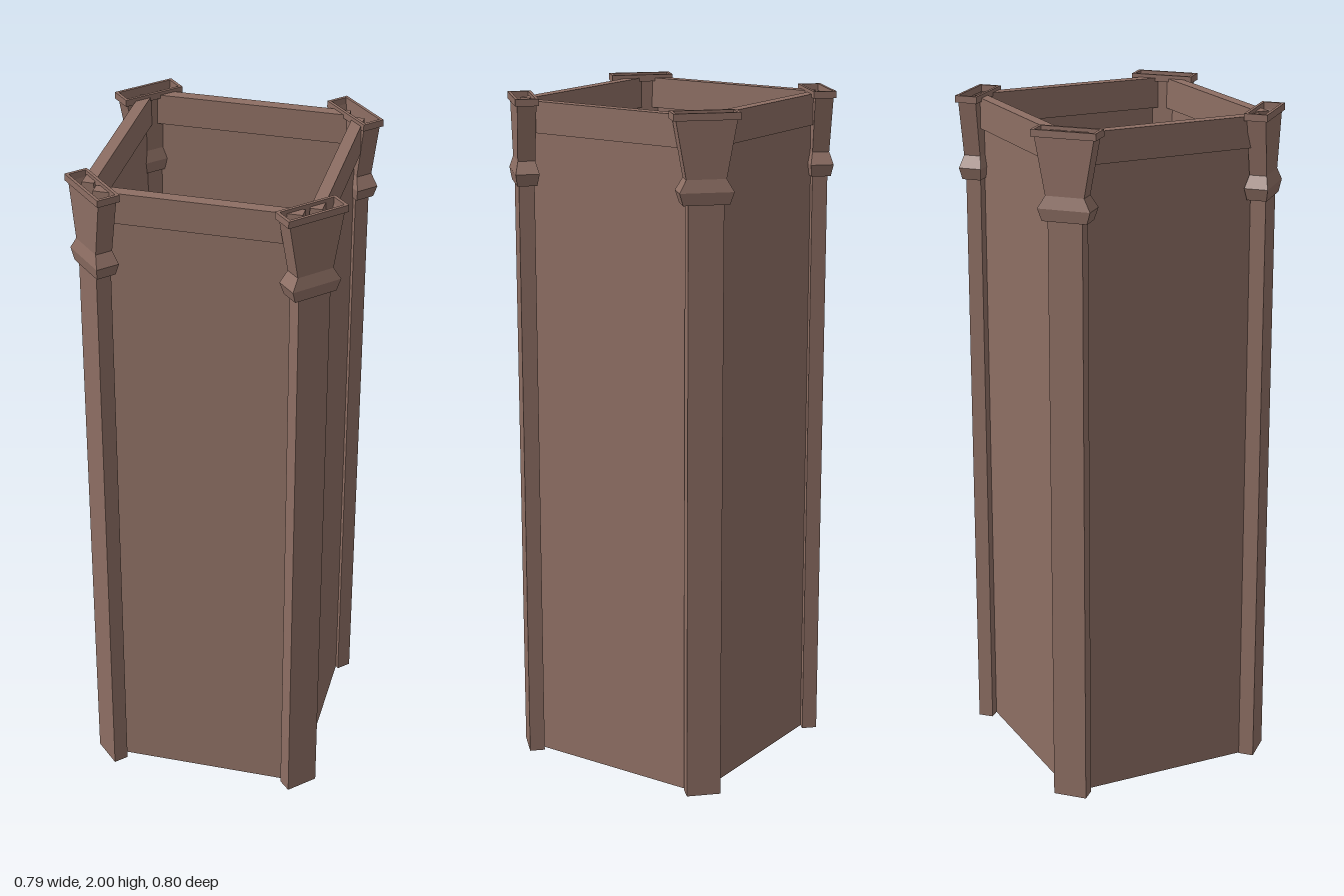
import * as THREE from 'three';

const brown = new THREE.MeshStandardMaterial({ color: 0x8d6e63, side: THREE.DoubleSide });
brown.name = 'brown';

// Hollow rectangular shell through sections of [height, width, depth]
function rectangularShell(sections) {
  const corners = [[0.5, 0.5], [0.5, -0.5], [-0.5, -0.5], [-0.5, 0.5]];
  const point = ([y, w, d], i) => [corners[i % 4][0] * w, y, corners[i % 4][1] * d];
  const positions = [];
  for (let s = 0; s < sections.length - 1; s++) {
    for (let i = 0; i < 4; i++) {
      const a = point(sections[s], i), b = point(sections[s], i + 1);
      const c = point(sections[s + 1], i + 1), d = point(sections[s + 1], i);
      positions.push(...a, ...b, ...c, ...a, ...c, ...d);
    }
  }
  const geometry = new THREE.BufferGeometry();
  geometry.setAttribute('position', new THREE.Float32BufferAttribute(positions, 3));
  geometry.computeVertexNormals();
  return geometry;
}

function part(name, geometry, x, y, z) {
  const mesh = new THREE.Mesh(geometry, brown);
  mesh.name = name;
  mesh.position.set(x, y, z);
  return mesh;
}

export function createModel() {
  const model = new THREE.Group();
  model.name = 'squareShaft';

  // Four thin walls, each with a thick rail along the top
  const panel = new THREE.PlaneGeometry(0.565, 1.9);
  const rail = new THREE.BoxGeometry(0.57, 0.09, 0.034);
  const sides = [
    ['front', 0, 0.308, 0.002],
    ['left', Math.PI / 2, 0.313, 0.004],
    ['back', Math.PI, 0.313, 0.002],
    ['right', -Math.PI / 2, 0.31, -0.003],
  ];
  for (const [name, angle, distance, shift] of sides) {
    const side = new THREE.Group();
    side.name = name + 'Side';
    side.rotation.y = angle;
    side.add(part('wallPanel', panel, shift, 0.95, distance - 0.004));
    side.add(part('topRail', rail, shift, 1.945, distance));
    model.add(side);
  }

  // Hollow corner posts set diagonally, with flared capitals
  const shaft = rectangularShell([[0, 0.1, 0.045], [1.75, 0.1, 0.045]]);
  const capital = rectangularShell([
    [1.75, 0.1, 0.045], [1.75, 0.13, 0.057], [1.785, 0.152, 0.068], [1.82, 0.112, 0.05],
    [1.98, 0.17, 0.054], [1.98, 0.186, 0.067], [2, 0.186, 0.067],
    [2, 0.168, 0.05], [1.98, 0.168, 0.05],
  ]);
  const posts = [
    ['frontLeft', 0.306, 0.299, 1],
    ['backLeft', 0.298, -0.313, 3],
    ['backRight', -0.307, -0.306, -3],
    ['frontRight', -0.29, 0.308, -1],
  ];
  for (const [name, x, z, turn] of posts) {
    const post = new THREE.Group();
    post.name = name + 'Post';
    post.position.set(x, 0, z);
    post.rotation.y = turn * Math.PI / 4;
    post.add(part('postShaft', shaft, 0, 0, 0), part('postCapital', capital, 0, 0, 0));
    model.add(post);
  }
  return model;
}
